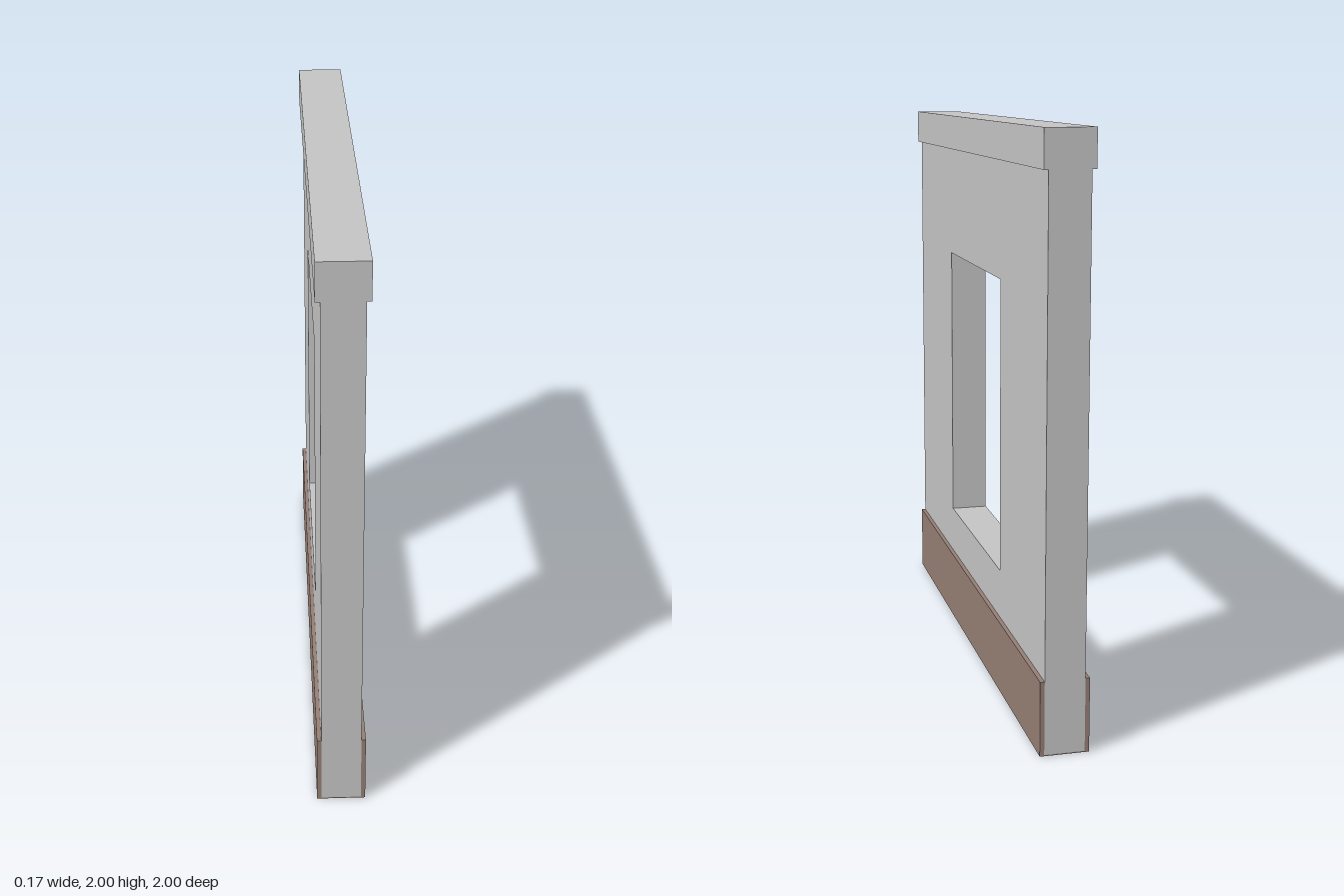
import * as THREE from 'three';

export function createModel() {
  const group = new THREE.Group();
  const plaster = new THREE.MeshStandardMaterial({ color: 0xc4c4c4 });
  plaster.name = 'grey plaster';
  const wood = new THREE.MeshStandardMaterial({ color: 0x947e74 });
  wood.name = 'brown wood';

  const LENGTH = 2, WALL = 0.136, TRIM = 0.166, PLATE = 0.004;

  function box(name, material, w, y0, y1, x = 0) {
    const mesh = new THREE.Mesh(new THREE.BoxGeometry(w, y1 - y0, LENGTH), material);
    mesh.name = name;
    mesh.position.set(x, (y0 + y1) / 2, 0);
    group.add(mesh);
  }

  // Rectangle outline, centred on the wall's length
  function rectangle(path, half, y0, y1) {
    path.moveTo(-half, y0);
    path.lineTo(half, y0);
    path.lineTo(half, y1);
    path.lineTo(-half, y1);
    path.closePath();
    return path;
  }

  // Wall panel with the window opening
  const outline = rectangle(new THREE.Shape(), LENGTH / 2, PLATE, 1.875);
  outline.holes.push(rectangle(new THREE.Path(), 0.4, 0.43, 1.47));
  const panel = new THREE.ExtrudeGeometry(outline, { depth: WALL, bevelEnabled: false });
  panel.translate(0, 0, -WALL / 2).rotateY(Math.PI / 2);
  const wall = new THREE.Mesh(panel, plaster);
  wall.name = 'wall';
  group.add(wall);

  // Top trim
  box('topTrim', plaster, TRIM, 1.875, 2);

  // Skirting boards on both faces, and the underside
  const board = (TRIM - WALL) / 2;
  for (const [name, side] of [['leftSkirting', 1], ['rightSkirting', -1]]) {
    box(name, wood, board, PLATE, 0.255, side * (WALL + board) / 2);
  }
  box('underside', wood, TRIM, 0, PLATE);

  return group;
}
